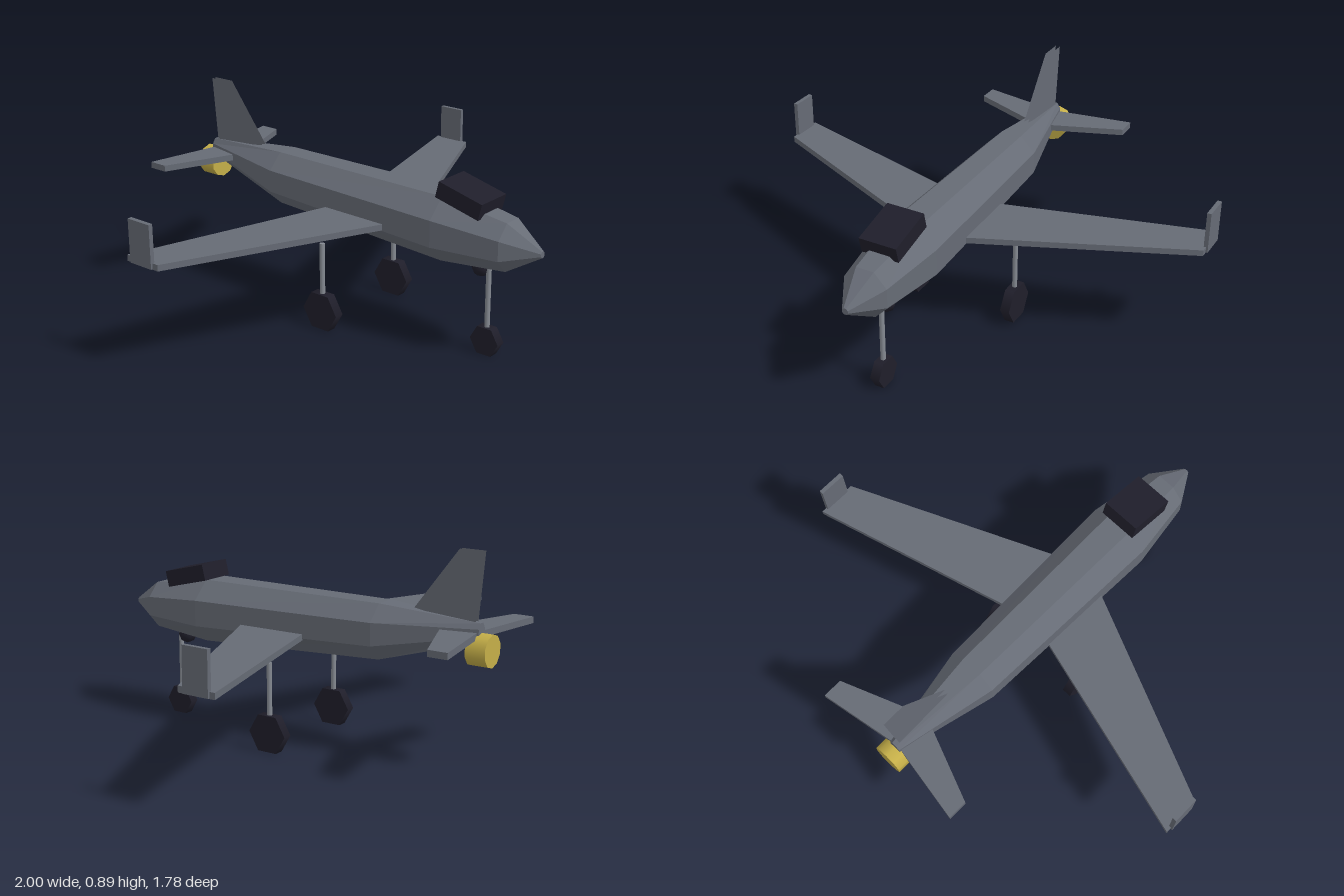
import * as THREE from 'three';

const hull = new THREE.MeshStandardMaterial({ color: 0x666b75, flatShading: true });
hull.name = 'hullGrey';
const finGrey = new THREE.MeshStandardMaterial({ color: 0x666b75, side: THREE.DoubleSide });
finGrey.name = 'finGrey';
const dark = new THREE.MeshStandardMaterial({ color: 0x1f1e2a });
dark.name = 'darkNavy';
const strutGrey = new THREE.MeshStandardMaterial({ color: 0x868b93 });
strutGrey.name = 'strutGrey';
const gold = new THREE.MeshStandardMaterial({ color: 0xc4ae48 });
gold.name = 'gold';

export function createModel() {
  const model = new THREE.Group();
  model.name = 'aircraft';

  const add = (name, geometry, material, x = 0, y = 0, z = 0) => {
    const mesh = new THREE.Mesh(geometry, material);
    mesh.name = name;
    mesh.position.set(x, y, z);
    model.add(mesh);
    return mesh;
  };

  // Flat horizontal slab from [x, z] corners
  const slab = (corners, height) => {
    const shape = new THREE.Shape(corners.map(([x, z]) => new THREE.Vector2(x, -z)));
    return new THREE.ExtrudeGeometry(shape, { depth: height, bevelEnabled: false }).rotateX(-Math.PI / 2);
  };

  add('fuselage', fuselageGeometry(), hull);

  // Canopy block tilted down towards the nose
  add('canopy', new THREE.BoxGeometry(0.166, 0.07, 0.21), dark, 0, 0.657, 0.552).rotation.x = 0.245;

  // Sensor ball under the nose
  add('sensorBall', new THREE.SphereGeometry(0.04, 6, 4), dark, 0, 0.374, 0.614);

  // Pusher engine at the tail
  add('engine', new THREE.CylinderGeometry(0.067, 0.067, 0.086, 10).rotateX(Math.PI / 2), gold, 0, 0.514, -0.848);

  // Vertical fin: two side skins
  const finShape = new THREE.Shape([[-0.55, 0.645], [-0.743, 0.898], [-0.845, 0.898], [-0.82, 0.6]]
    .map(([z, y]) => new THREE.Vector2(-z, y)));
  for (const s of [-1, 1]) {
    const skin = new THREE.ShapeGeometry(finShape).rotateY(Math.PI / 2);
    add(s > 0 ? 'leftFinSkin' : 'rightFinSkin', skin, finGrey, s * 0.01, 0, 0);
  }

  // Wheel on a thin strut
  const gear = (name, x, z, radius) => {
    add(name + 'Wheel', new THREE.CylinderGeometry(radius, radius, 0.042, 6).rotateZ(Math.PI / 2), dark, x, radius, z);
    const height = 0.388 - radius;
    add(name + 'Strut', new THREE.CylinderGeometry(0.011, 0.011, height, 8), strutGrey, x, radius + height / 2, z);
  };
  gear('nose', 0, 0.65, 0.067);

  for (const s of [-1, 1]) {
    const side = s > 0 ? 'left' : 'right';
    // Swept wing and upright winglet
    add(side + 'Wing', slab([[s * 0.1, 0.23], [s * 0.992, -0.163], [s * 0.992, -0.33], [s * 0.1, -0.085]], 0.026), hull, 0, 0.468, 0);
    add(side + 'Winglet', new THREE.BoxGeometry(0.018, 0.178, 0.115), hull, s * 0.991, 0.559, -0.248);
    // Tailplane
    add(side + 'Tailplane', slab([[0, -0.667], [s * 0.355, -0.805], [s * 0.355, -0.89], [0, -0.83]], 0.027), hull, 0, 0.557, 0);
    gear(side + 'Main', s * 0.237, -0.01, 0.089);
  }
  return model;
}

// Octagonal body lofted through sections: z, centre height, half width, half height
function fuselageGeometry() {
  const sections = [
    [0.89, 0.495, 0.013, 0.013],
    [0.75, 0.5, 0.095, 0.1],
    [0.457, 0.512, 0.136, 0.135],
    [-0.41, 0.535, 0.112, 0.115],
    [-0.842, 0.582, 0.025, 0.038],
  ];
  const point = ([z, y, w, h], k) => {
    const a = (k + 0.5) * Math.PI / 4, c = Math.cos(Math.PI / 8);
    return [w * Math.cos(a) / c, y + h * Math.sin(a) / c, z];
  };
  const verts = [];
  const first = sections[0], last = sections[sections.length - 1];
  for (let k = 0; k < 8; k++) {
    for (let i = 0; i < sections.length - 1; i++) {
      const a = point(sections[i], k), b = point(sections[i + 1], k);
      const c = point(sections[i + 1], k + 1), d = point(sections[i], k + 1);
      verts.push(...a, ...b, ...c, ...a, ...c, ...d);
    }
    // End caps
    verts.push(0, first[1], first[0], ...point(first, k), ...point(first, k + 1));
    verts.push(0, last[1], last[0], ...point(last, k + 1), ...point(last, k));
  }
  const geometry = new THREE.BufferGeometry();
  geometry.setAttribute('position', new THREE.Float32BufferAttribute(verts, 3));
  geometry.computeVertexNormals();
  return geometry;
}
